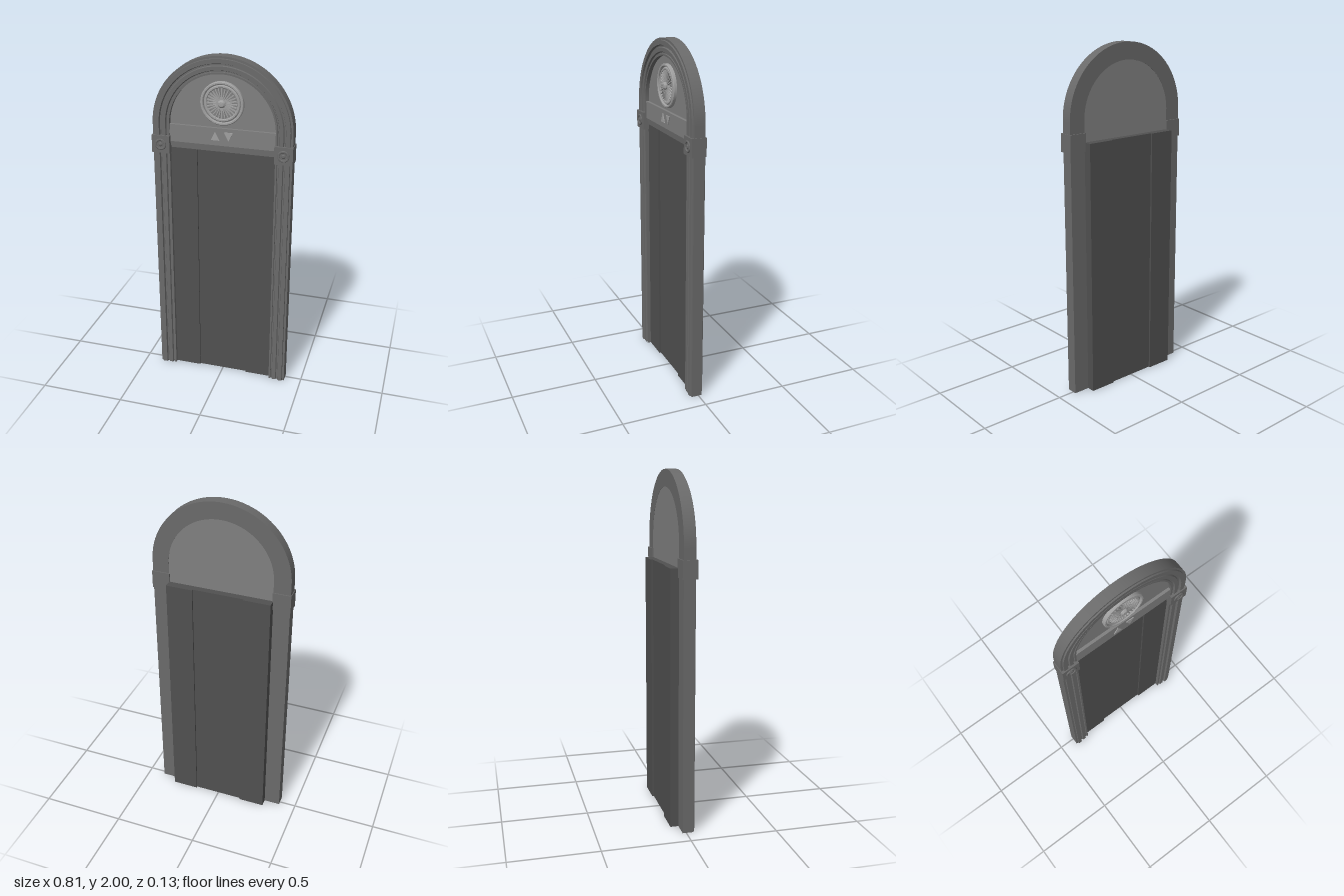
import * as THREE from 'three';
import { toCreasedNormals } from 'three/addons/utils/BufferGeometryUtils.js';

const mat = (color) => new THREE.MeshStandardMaterial({ color });
const frameMat = mat(0x6a6a6a), doorMat = mat(0x505050), panelMat = mat(0x808080), trimMat = mat(0xa0a0a0);

const SPRING = 1.6; // height where the arch begins
// moulding cross-section: distance from the middle, depth
const MOULDING = [
  [0.303, -0.021], [0.4, -0.021], [0.4, 0.042], [0.388, 0.042], [0.386, 0.05], [0.362, 0.05],
  [0.358, 0.038], [0.35, 0.038], [0.346, 0.046], [0.325, 0.046], [0.321, 0.036], [0.315, 0.036],
  [0.313, 0.042], [0.303, 0.042],
];

function add(parent, name, geometry, material, x = 0, y = 0, z = 0) {
  const mesh = new THREE.Mesh(geometry, material);
  mesh.name = name;
  mesh.position.set(x, y, z);
  parent.add(mesh);
  return mesh;
}

const box = (w, h, d) => new THREE.BoxGeometry(w, h, d);

function extrude(shape, depth) {
  return new THREE.ExtrudeGeometry(shape, { depth, bevelEnabled: false, curveSegments: 48 });
}

// turned part whose axis points along z
function turned(points, segments, start = 0, sweep = Math.PI * 2) {
  const profile = points.map(([r, z]) => new THREE.Vector2(r, z));
  const lathe = new THREE.LatheGeometry(profile, segments, start, sweep);
  return toCreasedNormals(lathe.rotateX(Math.PI / 2), 0.5);
}

// flat ring with bevelled front
function ring(inner, outer, back, front) {
  const b = (outer - inner) * 0.25, m = front - b;
  return turned([[inner, back], [outer, back], [outer, m], [outer - b, front],
    [inner + b, front], [inner, m], [inner, back]], 48);
}

function triangle(size) {
  return new THREE.Shape([[-size, -size], [size, -size], [0, size]].map(([x, y]) => new THREE.Vector2(x, y)));
}

export function createModel() {
  const model = new THREE.Group();
  model.name = 'archedDoorway';

  // moulded arch
  add(model, 'arch', turned([...MOULDING, MOULDING[0]], 64, Math.PI / 2, Math.PI), frameMat, 0, SPRING, 0);

  for (const side of [-1, 1]) {
    const label = side > 0 ? 'left' : 'right';
    // moulded post
    const section = new THREE.Shape(MOULDING.map(([r, z]) => new THREE.Vector2(side * r, -z)));
    add(model, label + 'Post', extrude(section, SPRING).rotateX(-Math.PI / 2), frameMat);

    // corner block with rosette
    const block = new THREE.Group();
    block.name = label + 'CornerBlock';
    block.position.set(side * 0.352, 1.482, 0);
    add(block, 'block', box(0.104, 0.102, 0.085), frameMat, 0, 0, 0.0145);
    add(block, 'rosetteRing', ring(0.021, 0.033, 0.05, 0.063), frameMat);
    add(block, 'rosetteButton', turned([[0.012, 0.05], [0.012, 0.058], [0.007, 0.062], [0, 0.063]], 20), frameMat);
    model.add(block);

    // door leaves, the middle ones thinner
    add(model, label + 'OuterDoorLeaf', box(0.155, 1.48, 0.09), doorMat, side * 0.2265, 0.74, -0.023);
    add(model, label + 'InnerDoorLeaf', box(0.149, 1.48, 0.07), doorMat, side * 0.0745, 0.74, -0.023);
  }

  // half-round panel filling the arch
  const fill = new THREE.Shape();
  fill.moveTo(-0.306, 1.47);
  fill.lineTo(0.306, 1.47);
  fill.lineTo(0.306, SPRING);
  fill.absarc(0, SPRING, 0.306, 0, Math.PI, false);
  fill.closePath();
  add(model, 'archPanel', extrude(fill, 0.04), panelMat, 0, 0, -0.02);

  // header with sloped underside
  const header = new THREE.Shape(
    [[0, 1.46], [-0.022, 1.46], [-0.036, 1.5], [-0.036, 1.6], [0, 1.6]].map(([z, y]) => new THREE.Vector2(z, y)));
  add(model, 'header', extrude(header, 0.612).rotateY(Math.PI / 2), panelMat, -0.306, 0, 0);

  // call arrows
  add(model, 'upArrow', extrude(triangle(0.025), 0.006), trimMat, -0.038, 1.555, 0.034);
  add(model, 'downArrow', extrude(triangle(0.025), 0.006).rotateZ(Math.PI), trimMat, 0.038, 1.555, 0.034);

  // round dial with radiating ribs
  const dial = new THREE.Group();
  dial.name = 'dial';
  dial.position.set(0, 1.74, 0);
  add(dial, 'dialPlate', turned([[0.118, 0.015], [0.118, 0.027], [0, 0.027]], 48), panelMat);
  add(dial, 'outerRing', ring(0.106, 0.122, 0.015, 0.04), trimMat);
  add(dial, 'innerRing', ring(0.086, 0.102, 0.02, 0.036), trimMat);
  const ribs = 28;
  for (let i = 0; i < ribs; i++) {
    const rib = box(0.066, 0.006, 0.012).translate(0.053, 0, 0.031);
    add(dial, 'rib', rib.rotateZ((i / ribs) * Math.PI * 2), trimMat);
  }
  add(dial, 'hub', turned([[0.022, 0.02], [0.022, 0.042], [0.014, 0.05], [0, 0.053]], 24), trimMat);
  model.add(dial);

  return model;
}
